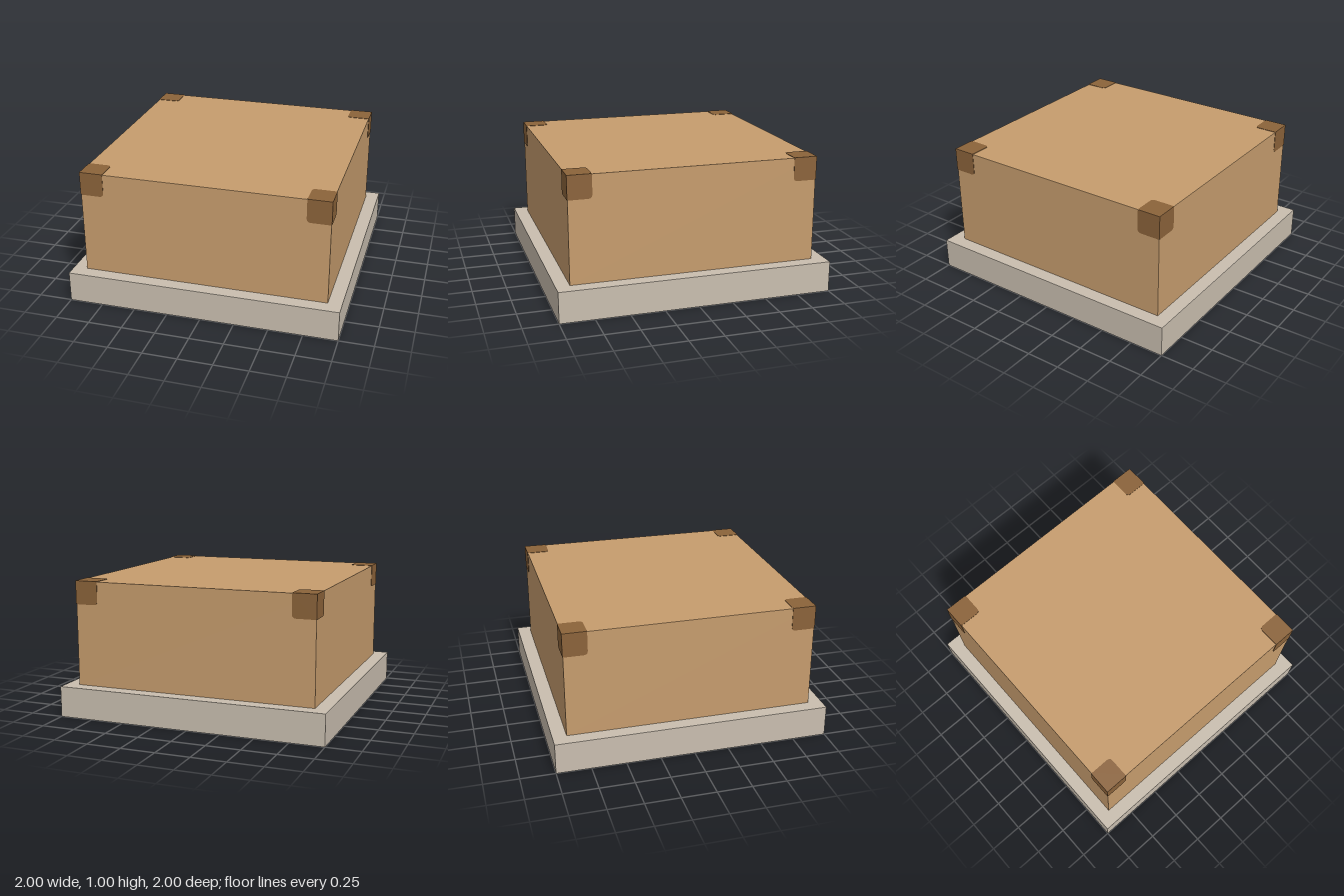
import * as THREE from 'three';

const BASE_H = 0.227;   // plinth height
const HALF = 0.9025;    // half width of the box, including corner plates
const PLATE = 0.172;    // corner plate size
const THICK = 0.003;    // corner plate thickness

const material = (name, color) => {
  const m = new THREE.MeshStandardMaterial({ color });
  m.name = name;
  return m;
};

function block(name, w, h, d, y, mat) {
  const mesh = new THREE.Mesh(new THREE.BoxGeometry(w, h, d), mat);
  mesh.name = name;
  mesh.position.y = y + h / 2;
  return mesh;
}

// Thin plate with its outer corner at the origin and its inner corner rounded
function plateGeometry() {
  const s = PLATE, r = 0.03, e = 0.008;
  const shape = new THREE.Shape();
  shape.moveTo(0, 0);
  shape.lineTo(-s + e, 0);
  shape.lineTo(-s, -e);
  shape.lineTo(-s, -s + r);
  shape.quadraticCurveTo(-s, -s, -s + r, -s);
  shape.lineTo(-e, -s);
  shape.lineTo(0, -s + e);
  shape.closePath();
  const geo = new THREE.ExtrudeGeometry(shape, { depth: THICK, bevelEnabled: false, curveSegments: 6 });
  return geo.translate(0, 0, -THICK);
}

export function createModel() {
  const stone = material('plinth stone', 0xc9beaf);
  const tan = material('box tan', 0xc69c6d);
  const brown = material('corner brown', 0x8b633a);

  const model = new THREE.Group();
  model.name = 'boxOnPlinth';
  model.add(block('plinth', 2, BASE_H, 2, 0, stone));
  const w = 2 * (HALF - THICK);
  model.add(block('box', w, 1 - THICK - BASE_H, w, BASE_H, tan));

  // Each corner guard has three plates, turned about the corner's diagonal
  const plate = plateGeometry();
  const diagonal = new THREE.Vector3(1, 1, 1).normalize();
  for (let i = 0; i < 4; i++) {
    const corner = new THREE.Group();
    corner.name = `cornerGuard${i + 1}`;
    for (let j = 0; j < 3; j++) {
      const mesh = new THREE.Mesh(plate, brown);
      mesh.name = 'cornerPlate';
      mesh.quaternion.setFromAxisAngle(diagonal, (j * 2 * Math.PI) / 3);
      corner.add(mesh);
    }
    const turn = (i * Math.PI) / 2;
    corner.position.set(HALF, 1, HALF).applyAxisAngle(new THREE.Vector3(0, 1, 0), turn);
    corner.rotation.y = turn;
    model.add(corner);
  }
  return model;
}
